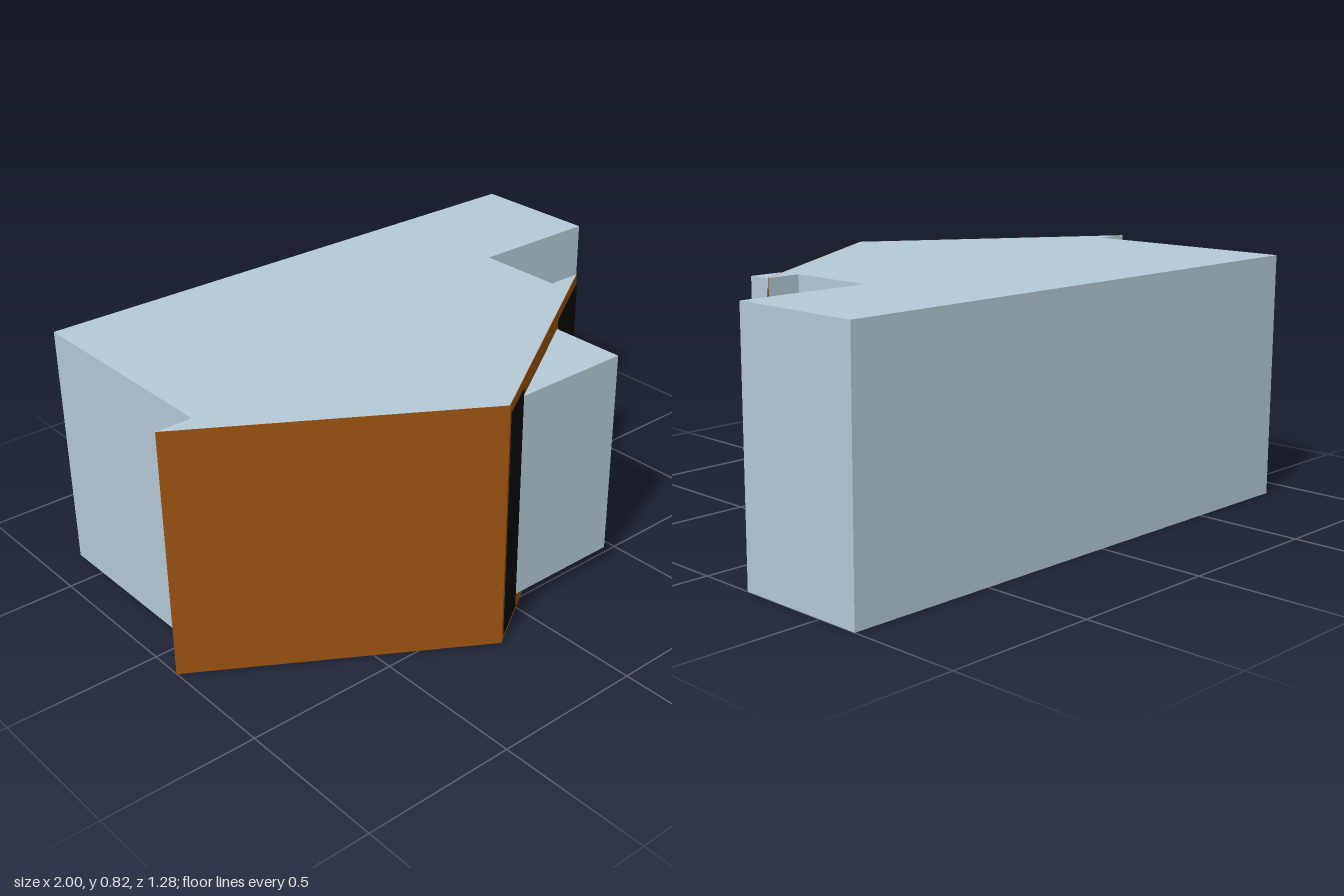
import * as THREE from 'three';

const HEIGHT = 0.82;
const TIP = [-0.165, 0.635], LEFT_END = [0.665, 0.11], RIGHT_END = [-1, 0.11];

const material = (color) => new THREE.MeshStandardMaterial({ color, flatShading: true });

// Vertical prism over a floor plan given as [x, z] points
function prism(name, plan, y0, y1, mat) {
  const shape = new THREE.Shape(plan.map(([x, z]) => new THREE.Vector2(x, -z)));
  const geo = new THREE.ExtrudeGeometry(shape, { depth: y1 - y0, bevelEnabled: false });
  geo.rotateX(-Math.PI / 2).translate(0, y0, 0);
  const mesh = new THREE.Mesh(geo, mat);
  mesh.name = name;
  return mesh;
}

// Group whose local x runs along a wall and whose local z points outward
function wallFrame(name, a, b) {
  const group = new THREE.Group();
  group.name = name;
  group.position.set(a[0], 0, a[1]);
  group.rotation.y = Math.atan2(a[1] - b[1], b[0] - a[0]);
  return group;
}

// Thin plate on a wall, from u0 to u1 along it and y0 to y1 up it
function plate(name, u0, u1, y0, y1, thickness, mat) {
  const geo = new THREE.BoxGeometry(u1 - u0, y1 - y0, thickness);
  geo.translate((u0 + u1) / 2, (y0 + y1) / 2, thickness / 2);
  const mesh = new THREE.Mesh(geo, mat);
  mesh.name = name;
  return mesh;
}

export function createModel() {
  const model = new THREE.Group();
  model.name = 'building';
  const wall = material(0xb4cad7);
  const cladding = material(0x9c5410);
  const glass = material(0x0a0a0a);

  // Main body with pointed front and rear side wing
  model.add(prism('body', [
    [-0.88, -0.64], [1, -0.64], [1, -0.19], [0.55, -0.19], [0.55, 0.11],
    LEFT_END, TIP, RIGHT_END, [-0.88, 0.11],
  ], 0, HEIGHT, wall));

  // Plain clad facade
  const plain = wallFrame('plainFacade', RIGHT_END, TIP);
  const plainLength = Math.hypot(TIP[0] - RIGHT_END[0], TIP[1] - RIGHT_END[1]);
  plain.add(plate('cladding', 0, plainLength, 0, HEIGHT, 0.002, cladding));
  model.add(plain);

  // Glazed facade
  const glazed = wallFrame('glazedFacade', TIP, LEFT_END);
  const length = Math.hypot(LEFT_END[0] - TIP[0], LEFT_END[1] - TIP[1]);
  const along = (x) => (x - TIP[0]) / (LEFT_END[0] - TIP[0]) * length;
  glazed.add(plate('cladding', 0, length, 0, HEIGHT, 0.002, cladding));

  // Window panes, three rows with hairline joints
  const seam = 0.001, rows = 3, bottom = 0.02, top = 0.788;
  const columns = [[-0.15, -0.02], [0.41, 0.54], [0.54, 0.663]];
  for (const [x0, x1] of columns) {
    for (let r = 0; r < rows; r++) {
      const y0 = bottom + (top - bottom) * r / rows;
      const y1 = bottom + (top - bottom) * (r + 1) / rows;
      glazed.add(plate('windowPane', along(x0) + seam, along(x1) - seam,
        y0 + seam, y1 - seam, 0.005, glass));
    }
  }
  model.add(glazed);

  // Triangular entrance bay projecting from the glazed facade
  model.add(prism('entranceBay', [[-0.02, 0.54], [0.4, 0.275], [0.4, 0.54]], 0.06, 0.76, wall));

  return model;
}
